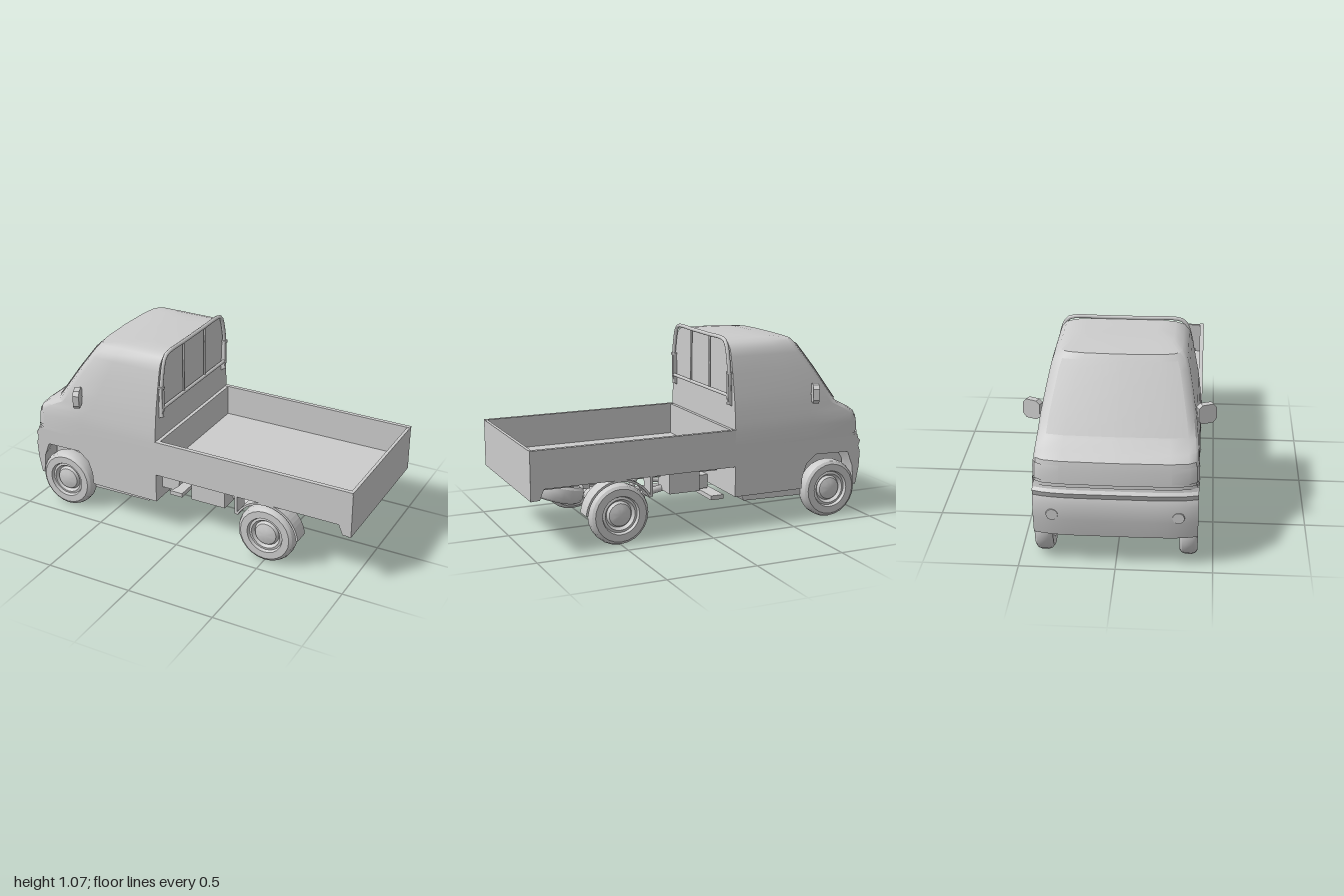
import * as THREE from 'three';
import { toCreasedNormals } from 'three/addons/utils/BufferGeometryUtils.js';

const grey = new THREE.MeshStandardMaterial({ color: 0xcccccc });
const grey2 = new THREE.MeshStandardMaterial({ color: 0xcccccc, side: THREE.DoubleSide });
const REAR = -0.17, W = 0.42;

export function createModel() {
  const root = new THREE.Group();
  const add = (name, geo, x = 0, y = 0, z = 0, mat = grey) => {
    const m = new THREE.Mesh(geo, mat);
    m.name = name;
    m.position.set(x, y, z);
    root.add(m);
    return m;
  };
  // Box given by its minimum and maximum on each axis
  const box = (name, x0, x1, y0, y1, z0, z1) =>
    add(name, new THREE.BoxGeometry(x1 - x0, y1 - y0, z1 - z0), (x0 + x1) / 2, (y0 + y1) / 2, (z0 + z1) / 2);
  const rod = (name, pts, r, smooth = false) => {
    const v = pts.map(p => new THREE.Vector3(...p));
    const path = smooth ? new THREE.CatmullRomCurve3(v, false, 'centripetal') : new THREE.LineCurve3(v[0], v[1]);
    return add(name, new THREE.TubeGeometry(path, smooth ? 48 : 1, r, 8), 0, 0, 0, grey2);
  };
  const extrude = (pts, depth, steps = 1) => {
    const g = new THREE.ExtrudeGeometry(new THREE.Shape(pts.map(p => new THREE.Vector2(...p))),
      { depth, steps, bevelEnabled: false });
    return g.translate(0, 0, -depth / 2);
  };

  // Upper cab: stacked plan sections of [height, front x, half width]
  const levels = [
    [0.465, -0.985, 0.42], [0.55, -0.98, 0.42], [0.60, -0.97, 0.417], [0.63, -0.93, 0.414],
    [0.67, -0.85, 0.41], [0.75, -0.795, 0.40], [0.87, -0.715, 0.377], [0.96, -0.65, 0.358],
    [1.0, -0.622, 0.345], [1.03, -0.6, 0.318], [1.045, -0.48, 0.27], [1.05, -0.40, 0.2],
  ];
  const section = (y, f, w) => {
    const half = [[REAR, w], [f + (REAR - f) * 0.4, w], [f + 0.07, w - 0.002], [f + 0.04, w - 0.014],
      [f + 0.018, w - 0.05], [f + 0.005, w - 0.14]];
    return [...half, [f, 0], ...half.map(([x, z]) => [x, -z]).reverse()].map(([x, z]) => [x, y, z]);
  };
  const sectionAt = y => {
    const i = Math.max(1, levels.findIndex(l => l[0] >= y));
    const [a, b] = [levels[i - 1], levels[i]];
    const t = (y - a[0]) / (b[0] - a[0]);
    return section(y, a[1] + (b[1] - a[1]) * t, a[2] + (b[2] - a[2]) * t);
  };
  const loft = (rows, closed) => {
    const n = rows[0].length, idx = [];
    for (let i = 0; i < rows.length - 1; i++)
      for (let j = 0; j < (closed ? n : n - 1); j++) {
        const k = (j + 1) % n, a = i * n + j, b = i * n + k;
        idx.push(a, a + n, b, b, a + n, b + n);
      }
    if (closed) { // flat lid on the last section
      const top = (rows.length - 1) * n;
      for (let j = 1; j < n - 1; j++) idx.push(top, top + j + 1, top + j);
    }
    const g = new THREE.BufferGeometry();
    g.setAttribute('position', new THREE.Float32BufferAttribute(rows.flat(2), 3));
    g.setIndex(idx);
    return toCreasedNormals(g, 0.6);
  };
  add('cabUpper', loft(levels.map(l => section(...l)), true));

  // Thin panels lying on the cab surface
  const panel = (name, ys, from, to, dx, dy, dz) => add(name, loft(ys.map(y =>
    sectionAt(y).slice(from, to + 1).map(([x, yy, z]) => [x > REAR - 0.01 ? x : x + dx, yy + dy, z + Math.sign(z) * dz])), false),
    0, 0, 0, grey2);
  panel('windshield', [0.68, 0.75, 0.87, 0.96, 1.0], 4, 8, -0.004, 0.003, 0);
  panel('trimStrip', [0.467, 0.486], 0, 12, -0.007, 0, 0.005);
  panel('headlightLeft', [0.495, 0.55, 0.58], 2, 5, -0.005, 0, 0.003);
  panel('headlightRight', [0.495, 0.55, 0.58], 7, 10, -0.005, 0, 0.003);

  // Lower cab with wheel arches and curved bumper
  const lower = extrude([[REAR, 0.19], [REAR, 0.472], [-0.98, 0.472], [-0.985, 0.45], [-1, 0.435], [-0.988, 0.405],
    [-1, 0.37], [-0.995, 0.28], [-0.975, 0.18], [-0.96, 0.18], [-0.95, 0.29], [-0.89, 0.375],
    [-0.68, 0.38], [-0.62, 0.33], [-0.595, 0.26], [-0.59, 0.19]].reverse(), 2 * W, 16);
  const p = lower.attributes.position;
  for (let i = 0; i < p.count; i++)
    if (p.getX(i) < -0.92) p.setX(i, p.getX(i) + 0.028 * Math.pow(Math.abs(p.getZ(i)) / W, 5));
  add('cabLower', toCreasedNormals(lower, 0.5));
  box('frontWheelWell', -0.94, -0.58, 0.2, 0.44, -0.28, 0.28);
  add('floorPan', extrude([[-0.61, 0.14], [-0.25, 0.147], [-0.225, 0.2], [-0.61, 0.2]], 0.74));

  // Load bed with drop tailgate
  box('bedFloor', REAR, 0.985, 0.36, 0.385, -W, W);
  box('bedFront', REAR, -0.15, 0.36, 0.565, -W, W);
  box('tailgate', 0.983, 1, 0.3, 0.565, -W, W);
  for (const s of [1, -1]) {
    const z = s * (W - 0.009);
    box('bedSide', REAR, 0.985, 0.36, 0.565, z - 0.009, z + 0.009);
    box('bedSideRail', REAR, 1, 0.553, 0.567, z - 0.012, z + 0.012);
    add('tailgateBracket', extrude([[0.925, 0.362], [0.95, 0.3], [0.985, 0.3], [0.985, 0.362]], 0.02), 0, 0, s * 0.405);
  }

  // Guard frame behind the cab
  const gx = -0.155;
  const side = [[0.36, 0.70], [0.362, 0.88], [0.352, 0.94], [0.335, 1.005], [0.315, 1.04], [0.285, 1.053]];
  rod('guardHoop', [...side, [0.1, 1.054], ...[[0.1, 1.054], ...side.slice().reverse()].map(([z, y]) => [-z, y])]
    .map(([z, y]) => [gx, y, z]), 0.011, true);
  rod('guardLowerRail', [[gx, 0.75, 0.36], [gx, 0.75, -0.36]], 0.01);
  for (const s of [1, -1]) {
    rod('guardUpright', [[gx, 0.75, s * 0.12], [gx, 1.054, s * 0.12]], 0.006);
    add('guardCollar', new THREE.CylinderGeometry(0.018, 0.018, 0.012, 12), gx, 0.876, s * 0.362);
    add('guardFoot', extrude([[-0.172, 0.69], [-0.155, 0.7], [-0.145, 0.74], [-0.145, 0.87], [-0.165, 0.87], [-0.172, 0.8]],
      0.02), 0, 0, s * 0.36);
  }

  // Mirrors and bumper lamps
  for (const s of [1, -1]) {
    const m = add('mirror', extrude([[-0.03, -0.052], [0.03, -0.052], [0.05, -0.03], [0.05, 0.03], [0.03, 0.052],
      [-0.03, 0.052], [-0.05, 0.035], [-0.05, -0.035]], 0.034), -0.65, 0.738, s * 0.447);
    m.rotation.y = -s * 1.16;
    rod('mirrorArm', [[-0.655, 0.72, s * 0.38], [-0.66, 0.735, s * 0.43]], 0.01);
    const lamp = add('bumperLamp', new THREE.CylinderGeometry(0.03, 0.034, 0.02, 16), -0.985, 0.31, s * 0.32);
    lamp.rotation.z = Math.PI / 2;
  }

  // Wheels: tyre, recessed rim and hub in one turned profile
  const wheelGeo = toCreasedNormals(new THREE.LatheGeometry([[0, -0.015], [0.095, -0.015], [0.1, -0.046], [0.145, -0.047],
    [0.16, -0.034], [0.167, -0.015], [0.167, 0.018], [0.16, 0.036], [0.145, 0.047], [0.105, 0.047], [0.098, 0.03],
    [0.085, 0.033], [0.072, 0.015], [0.062, 0.032], [0.035, 0.04], [0, 0.044]].map(q => new THREE.Vector2(...q)), 24)
    .rotateX(Math.PI / 2), 0.5);
  for (const s of [1, -1]) {
    for (const [name, x] of [['frontWheel', -0.78], ['rearWheel', 0.505]])
      add(name, wheelGeo, x, 0.167, s * 0.373).rotation.y = s > 0 ? 0 : Math.PI;
    // Rear mudguard arc
    const arc = new THREE.Shape();
    arc.absarc(0, 0, 0.196, 0.1, Math.PI - 0.45, false);
    arc.absarc(0, 0, 0.184, Math.PI - 0.45, 0.1, true);
    add('rearMudguard', new THREE.ExtrudeGeometry(arc, { depth: 0.09, bevelEnabled: false, curveSegments: 10 })
      .translate(0, 0, -0.045), 0.505, 0.165, s * 0.37);
    box('mudguardStay', 0.32, 0.335, 0.25, 0.36, s * 0.37 - 0.045, s * 0.37 + 0.045);
    box('chassisRail', REAR, 0.9, 0.29, 0.36, s * 0.17 - 0.025, s * 0.17 + 0.025);
    rod('trailingArm', [[0.05, 0.24, s * 0.17], [0.505, 0.19, s * 0.26]], 0.02);
    rod('damper', [[0.43, 0.17, s * 0.27], [0.35, 0.36, s * 0.27]], 0.018);
    add('brakeDrum', new THREE.CylinderGeometry(0.075, 0.075, 0.05, 16).rotateX(Math.PI / 2), 0.505, 0.167, s * 0.325);
  }
  rod('frontAxle', [[-0.78, 0.167, 0.34], [-0.78, 0.167, -0.34]], 0.025);
  rod('rearAxle', [[0.505, 0.167, 0.34], [0.505, 0.167, -0.34]], 0.022);
  add('differential', new THREE.SphereGeometry(0.055, 16, 10), 0.505, 0.167, 0);

  // Spare wheel slung under the tail
  const tilt = 0.28;
  add('spareWheel', wheelGeo, 0.735, 0.237, 0).quaternion.setFromUnitVectors(
    new THREE.Vector3(0, 0, 1), new THREE.Vector3(Math.sin(tilt), -Math.cos(tilt), 0));
  rod('spareCarrier', [[0.68, 0.34, 0], [0.82, 0.335, 0]], 0.012);

  // Underbody equipment
  box('crossMember', 0.62, 0.66, 0.29, 0.36, -0.26, 0.26);
  box('batteryBox', 0, 0.21, 0.2, 0.32, 0.14, 0.32);
  box('toolBox', 0, 0.18, 0.22, 0.36, -0.32, -0.16);
  box('gearbox', -0.17, -0.05, 0.155, 0.235, -0.07, 0.07);
  box('engineMount', -0.2, -0.12, 0.125, 0.15, -0.22, 0.22);
  add('fuelTank', extrude([[REAR, 0.25], [-0.1, 0.25], [-0.065, 0.28], [-0.05, 0.36], [REAR, 0.36]], 0.3), 0, 0, 0.2);
  rod('driveShaft', [[-0.05, 0.19, 0], [0.5, 0.17, 0]], 0.015);
  rod('exhaustPipe', [[-0.06, 0.19, 0.09], [0.1, 0.195, 0.09], [0.22, 0.26, 0.1], [0.36, 0.32, 0.1]], 0.014, true);
  return root;
}
